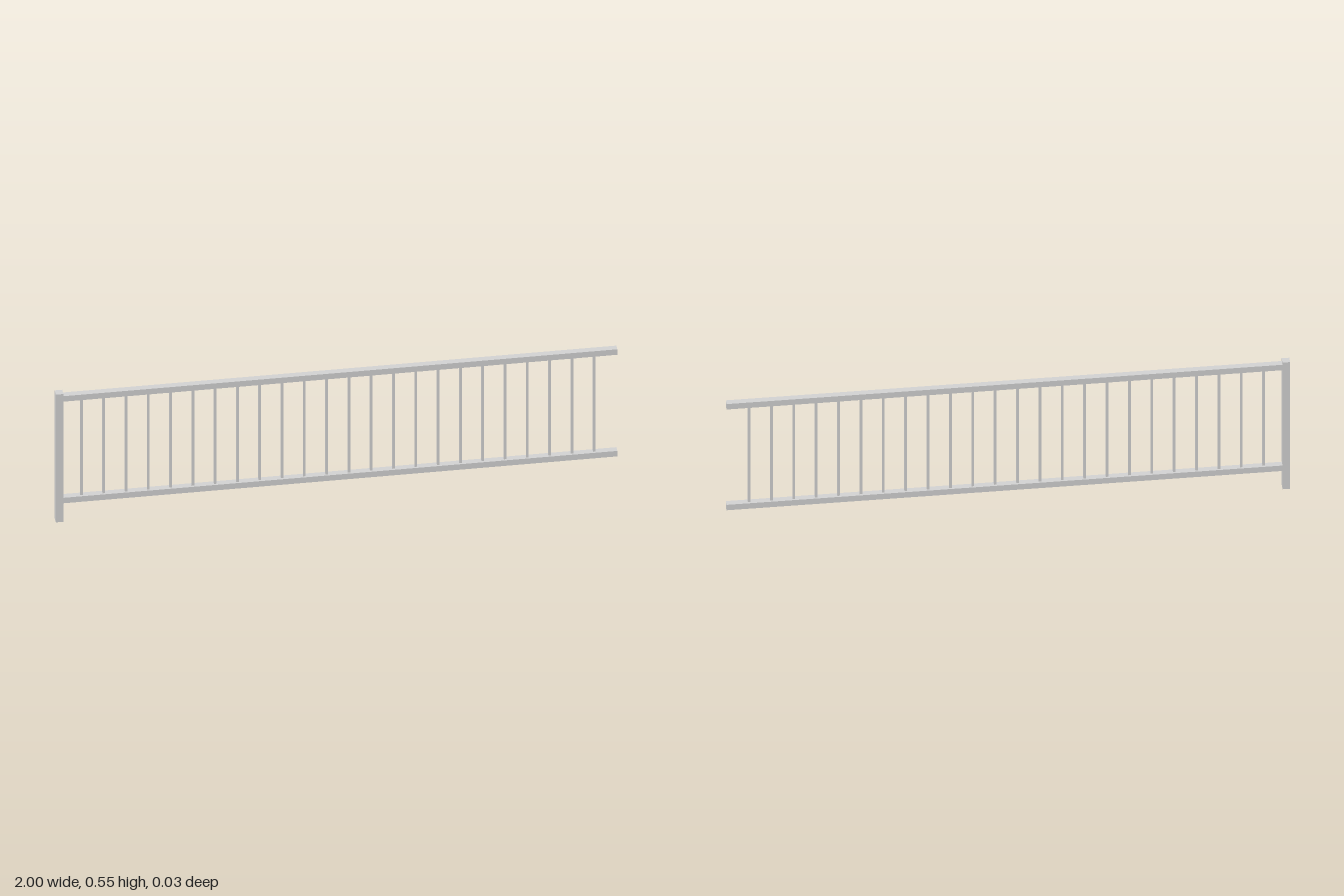
import * as THREE from 'three';

export function createModel() {
  const group = new THREE.Group();
  const metal = new THREE.MeshStandardMaterial({ color: 0xd3d3d3 });
  metal.name = 'light grey metal';

  // Box spanning x0..x1 and y0..y1, centred on z = 0
  const bar = (name, x0, x1, y0, y1, depth) => {
    const mesh = new THREE.Mesh(new THREE.BoxGeometry(x1 - x0, y1 - y0, depth), metal);
    mesh.name = name;
    mesh.position.set((x0 + x1) / 2, (y0 + y1) / 2, 0);
    group.add(mesh);
  };

  const postWidth = 0.027, railSize = 0.0234, balusterSize = 0.009;
  const postCentre = -1 + postWidth / 2;
  const lowerRail = 0.0778, upperRail = 0.5125;

  // End post and the two rails that run from it
  bar('post', -1, -1 + postWidth, 0, 0.5465, postWidth);
  bar('lowerRail', -1 + postWidth, 1, lowerRail, lowerRail + railSize, railSize);
  bar('upperRail', -1 + postWidth, 1, upperRail, upperRail + railSize, railSize);

  // Evenly spaced balusters between the rails
  const count = 24, spacing = 0.0794;
  for (let i = 1; i <= count; i++) {
    const x = postCentre + spacing * i;
    bar('baluster', x - balusterSize / 2, x + balusterSize / 2,
      lowerRail + railSize, upperRail, balusterSize);
  }
  return group;
}
